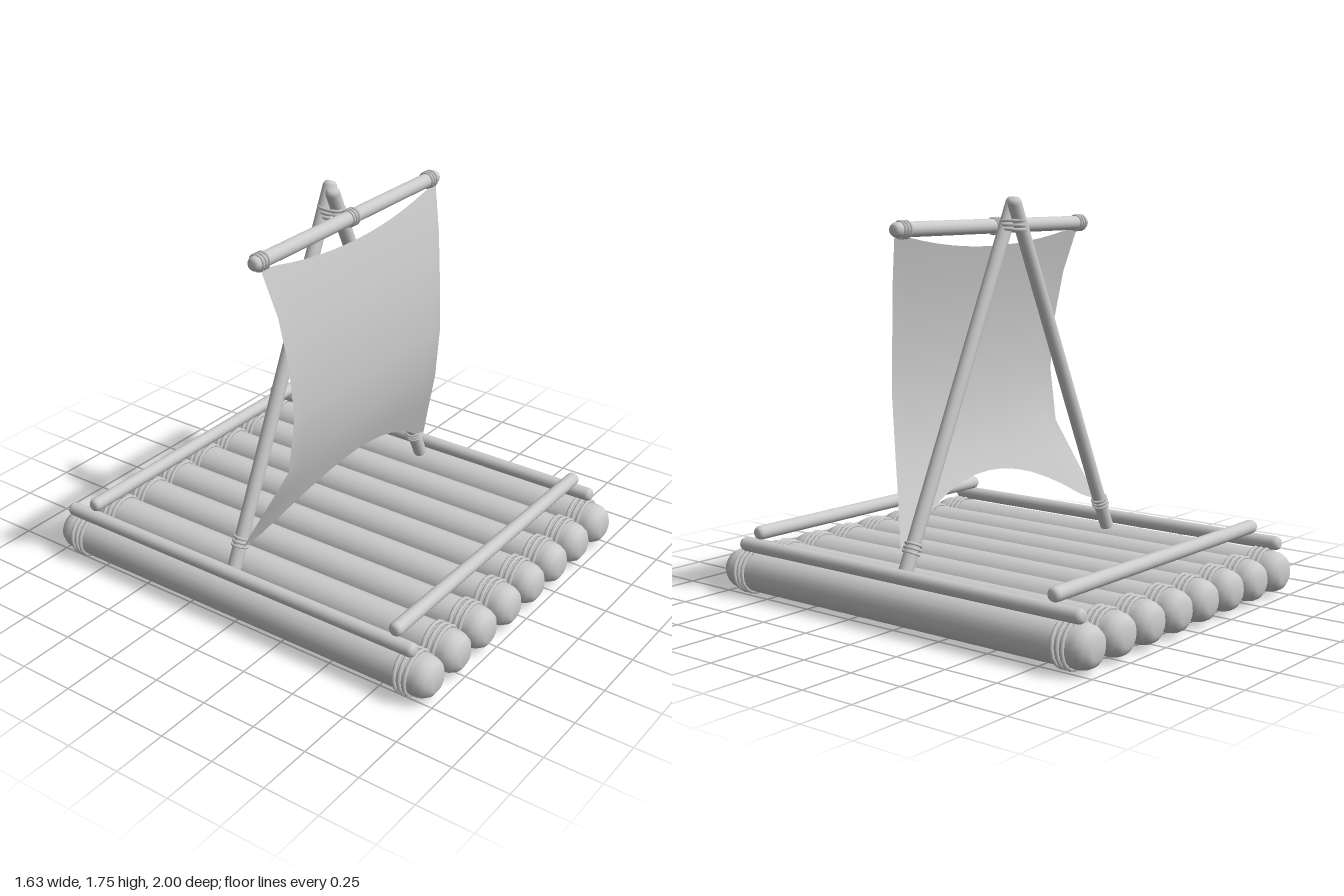
import * as THREE from 'three';

const mat = new THREE.MeshStandardMaterial({ color: 0xcccccc });
const clothMat = new THREE.MeshStandardMaterial({ color: 0xcccccc, side: THREE.DoubleSide });
const V = (x, y, z) => new THREE.Vector3(x, y, z);
const UP = V(0, 1, 0);

export function createModel() {
  const model = new THREE.Group();

  function add(name, geometry, material = mat) {
    const mesh = new THREE.Mesh(geometry, material);
    mesh.name = name;
    model.add(mesh);
    return mesh;
  }

  // Round timber from a to b with softened ends
  function pole(name, a, b, r, bevel = r * 0.75, sides = 16) {
    const len = a.distanceTo(b);
    const end = [[0, 0], [0.5, 0], [0.8, 0.25], [0.95, 0.62], [1, 1]];
    const pts = end.map(([x, y]) => new THREE.Vector2(x * r, y * bevel));
    pts.push(...end.slice().reverse().map(([x, y]) => new THREE.Vector2(x * r, len - y * bevel)));
    const mesh = add(name, new THREE.LatheGeometry(pts, sides));
    mesh.position.copy(a);
    mesh.quaternion.setFromUnitVectors(UP, b.clone().sub(a).normalize());
    return mesh;
  }

  // Three rope turns around an axis; sx and sy stretch the loops
  function lashing(name, centre, axis, r, gap, thick, sx = 1, sy = 1) {
    const group = new THREE.Group();
    group.name = name;
    const geometry = new THREE.TorusGeometry(r, thick, 6, 16);
    for (let i = -1; i <= 1; i++) {
      const ring = new THREE.Mesh(geometry, mat);
      ring.scale.set(sx, sy, 1);
      ring.position.z = i * gap;
      ring.rotation.x = i * 0.03;
      group.add(ring);
    }
    group.position.copy(centre);
    group.quaternion.setFromUnitVectors(V(0, 0, 1), axis.clone().normalize());
    model.add(group);
  }

  // Deck logs with rope at both ends
  for (let i = 0; i < 8; i++) {
    const x = (i - 3.5) * 0.2025;
    pole('deckLog', V(x, 0.108, -1), V(x, 0.108, 1), 0.091, 0.07, 20);
    for (const s of [-1, 1]) lashing('logLashing', V(x, 0.108, s * 0.875), V(0, 0, 1), 0.095, 0.024, 0.009);
  }

  // Rails along the sides and across the ends
  for (const s of [-1, 1]) {
    pole('sideRail', V(s * 0.738, 0.23, -0.955), V(s * 0.738, 0.23, 0.91), 0.031);
    pole('crossRail', V(-0.748, 0.29, s * 0.81), V(0.748, 0.29, s * 0.81), 0.031);
  }

  // Crossed mast legs, one behind the other
  for (const [s, z] of [[1, 0.004], [-1, -0.058]]) {
    const foot = V(s * 0.69, 0.18, z), top = V(-s * 0.042, 1.75, z - 0.006);
    pole('mastLeg', foot, top, 0.031);
    const axis = top.clone().sub(foot);
    lashing('footLashing', foot.clone().addScaledVector(axis, 0.09), axis, 0.034, 0.018, 0.006);
  }
  lashing('mastLashing', V(0, 1.635, -0.03), V(0, 1, 0), 0.06, 0.018, 0.007, 0.75, 1);

  // Yard with rope at its ends and middle
  pole('yard', V(-0.655, 1.628, 0.066), V(0.655, 1.628, 0.066), 0.032);
  for (const x of [-0.605, 0, 0.595]) lashing('yardLashing', V(x, 1.628, 0.066), V(1, 0, 0), 0.034, 0.018, 0.006);

  // Sail: rows of [edge height, half width, forward belly, lift at the middle]
  const rows = [
    [1.605, 0.625, 0.085, -0.065], [1.4, 0.585, 0.135, -0.03], [1.18, 0.558, 0.165, 0],
    [0.95, 0.548, 0.18, 0], [0.7, 0.558, 0.155, 0.06], [0.5, 0.61, 0.092, 0.14], [0.32, 0.66, 0.035, 0.225],
  ];
  const bellyAt = (y) => {
    for (let i = 1; i < rows.length; i++) {
      const [y0, , z0] = rows[i - 1], [y1, , z1] = rows[i];
      if (y >= y1) return z0 + (z1 - z0) * Math.max(0, (y0 - y) / (y0 - y1));
    }
    return rows[rows.length - 1][2];
  };
  const cols = 14;
  const sail = new THREE.PlaneGeometry(2, 1, cols, rows.length - 1);
  const p = sail.attributes.position;
  for (let i = 0; i < p.count; i++) {
    const u = p.getX(i);
    const [y, half, , lift] = rows[Math.floor(i / (cols + 1))];
    const h = y + lift * Math.max(0, 1 - (u / 0.94) ** 2);
    // the lower right corner reaches back to the rear mast leg
    const back = u < 0 ? 0.055 * u * u * Math.max(0, (0.7 - h) / 0.38) : 0;
    p.setXYZ(i, u * half, h, bellyAt(h) - back);
  }
  sail.computeVertexNormals();
  add('sail', sail, clothMat);

  return model;
}
